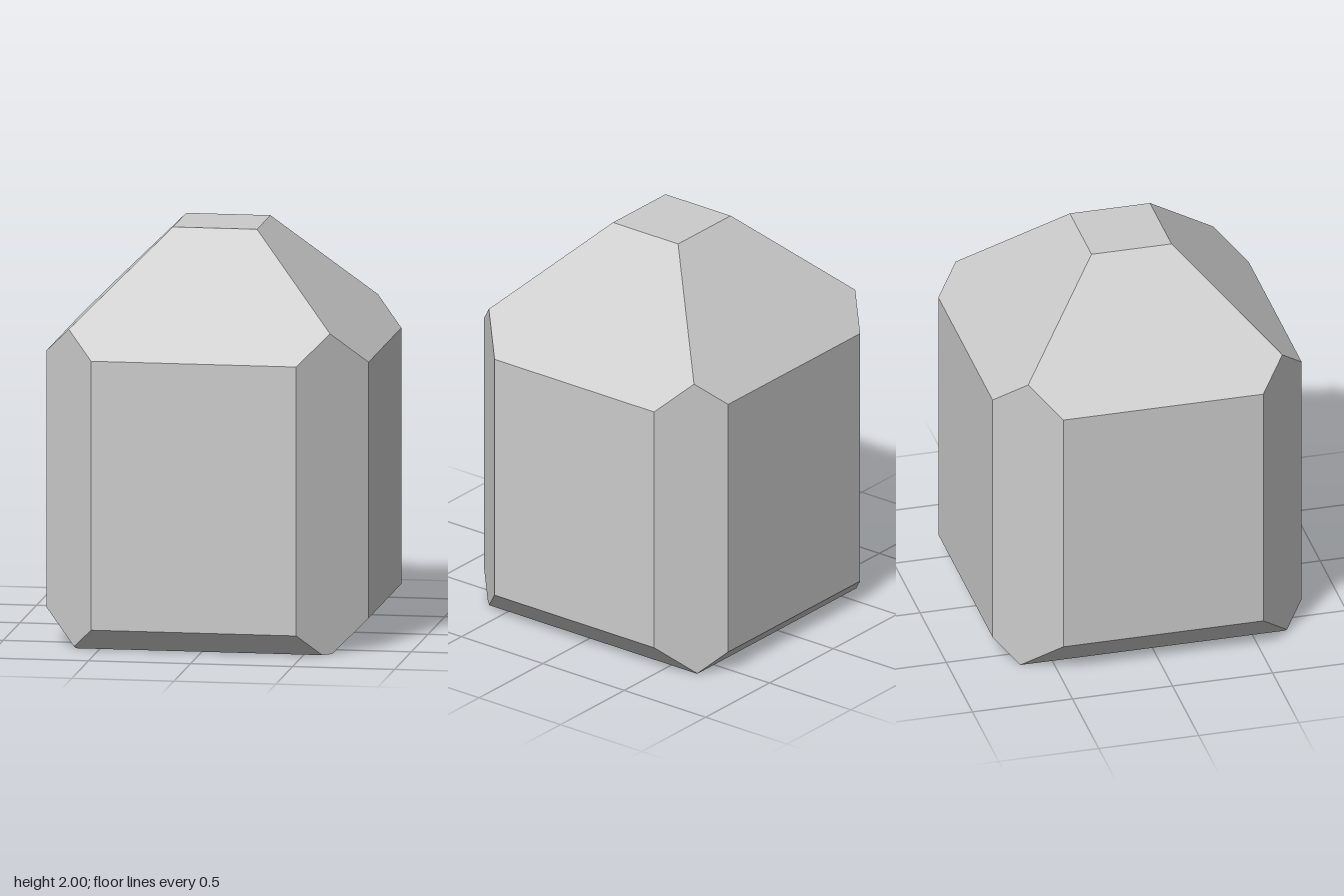
import * as THREE from 'three';

// Each facet is a cutting plane: direction and limit (direction . point <= limit)
const FACETS = [
  // sides, base and top
  [1, 0, 0, 0.785], [-1, 0, 0, 0.785], [0, 0, 1, 0.77], [0, 0, -1, 0.77],
  [0, -1, 0, 0], [0, 1, 0, 2],
  // sloping crown
  [1, 1, 0, 2.195], [-1, 1, 0, 2.217], [0, 1, 1, 2.2], [0, 1, -1, 2.2],
  // upright corner bevels
  [1, 0, 1, 1.25], [-1, 0, 1, 1.295], [1, 0, -1, 1.3], [-1, 0, -1, 1.275],
  // lower edge bevels
  [1, -1, 0, 0.632], [-1, -1, 0, 0.615], [0, -1, 1, 0.66], [0, -1, -1, 0.66],
];

// Solid bounded by the planes: corners are triple intersections inside all of them
function cutSolid(facets) {
  const planes = facets.map(([x, y, z, d]) => ({ n: new THREE.Vector3(x, y, z), d }));
  const corners = [];
  const cross = (a, b) => new THREE.Vector3().crossVectors(a.n, b.n);
  for (let i = 0; i < planes.length; i++)
    for (let j = i + 1; j < planes.length; j++)
      for (let k = j + 1; k < planes.length; k++) {
        const [a, b, c] = [planes[i], planes[j], planes[k]];
        const det = a.n.dot(cross(b, c));
        if (Math.abs(det) < 1e-6) continue;
        const p = cross(b, c).multiplyScalar(a.d)
          .addScaledVector(cross(c, a), b.d)
          .addScaledVector(cross(a, b), c.d)
          .divideScalar(det);
        const inside = planes.every((q) => q.n.dot(p) <= q.d + 1e-6);
        if (inside && !corners.some((q) => q.distanceTo(p) < 1e-5)) corners.push(p);
      }

  // Order each facet's corners around its middle and fan them into triangles
  const positions = [];
  for (const { n, d } of planes) {
    const ring = corners.filter((p) => Math.abs(n.dot(p) - d) < 1e-5);
    if (ring.length < 3) continue;
    const middle = ring.reduce((s, p) => s.add(p), new THREE.Vector3()).divideScalar(ring.length);
    const u = ring[0].clone().sub(middle).normalize();
    const v = n.clone().normalize().cross(u);
    const angle = (p) => {
      const r = p.clone().sub(middle);
      return Math.atan2(r.dot(v), r.dot(u));
    };
    ring.sort((p, q) => angle(p) - angle(q));
    for (let i = 1; i < ring.length - 1; i++)
      for (const p of [ring[0], ring[i], ring[i + 1]]) positions.push(p.x, p.y, p.z);
  }
  const geometry = new THREE.BufferGeometry();
  geometry.setAttribute('position', new THREE.Float32BufferAttribute(positions, 3));
  geometry.computeVertexNormals();
  return geometry;
}

export function createModel() {
  const group = new THREE.Group();
  group.name = 'facetedCrystal';
  const material = new THREE.MeshStandardMaterial({ color: 0xcccccc, flatShading: true });
  const stone = new THREE.Mesh(cutSolid(FACETS), material);
  stone.name = 'crystalBody';
  group.add(stone);
  return group;
}
